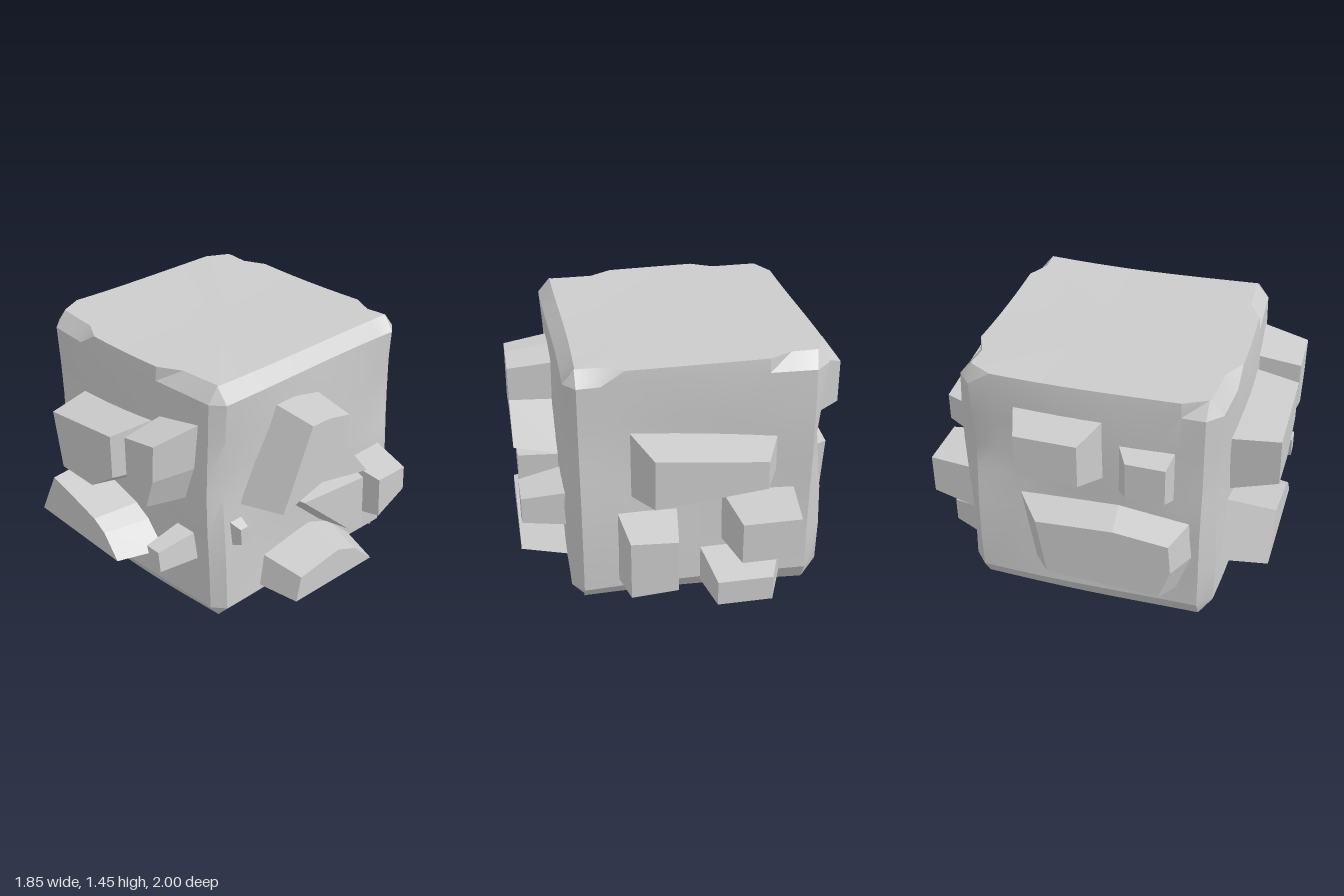
import * as THREE from 'three';
import { toCreasedNormals } from 'three/addons/utils/BufferGeometryUtils.js';

const material = new THREE.MeshStandardMaterial({ color: 0xcccccc });

// Stacks closed loops of points into a skin and closes its ends with fans.
function skin(loops, endCentre, startCentre) {
  const pos = [];
  const tri = (...pts) => pts.forEach((p) => pos.push(...p));
  const n = loops[0].length;
  const last = loops[loops.length - 1];
  for (let i = 0; i < n; i++) {
    const j = (i + 1) % n;
    for (let k = 0; k < loops.length - 1; k++) {
      const [a, b, c, d] = [loops[k][i], loops[k][j], loops[k + 1][j], loops[k + 1][i]];
      tri(a, b, c);
      tri(a, c, d);
    }
    tri(endCentre, last[i], last[j]);
    if (startCentre) tri(startCentre, loops[0][j], loops[0][i]);
  }
  const g = new THREE.BufferGeometry();
  g.setAttribute('position', new THREE.Float32BufferAttribute(pos, 3));
  g.computeVertexNormals();
  return g;
}

// Block: chamfered square loops, with chipped edges and gently uneven sides.
function blockLoop(y, kind) {
  const N = 10;
  const pts = [];
  const top = kind === 'top', bottom = kind === 'bottom';
  const wob = (t, s) => 0.01 * Math.sin(4 * t + 5 * y + s);
  const dent = 0.025 * Math.exp(-Math.pow((y - 0.95) / 0.2, 2));
  const chip = (t, a, b) => (top ? (t < a || t > b ? 0.07 : 0.005) : bottom ? 0.06 : 0);
  for (let side = 0; side < 4; side++) {
    for (let i = 0; i <= N; i++) {
      const t = i / N;
      const bow = Math.sin(Math.PI * t);
      if (side === 0) pts.push([-0.66 + 1.27 * t, y, 0.72 + 0.02 * bow + wob(t, 0) - chip(t, 0.25, 0.75)]);
      if (side === 1) pts.push([0.67 - dent * (1 - bow) + wob(t, 1) - (top || bottom ? 0.07 : 0), y, 0.65 - 1.27 * t]);
      if (side === 2) pts.push([0.6 - 1.27 * t, y, -0.7 + 0.03 * bow + wob(t, 2) + chip(t, 0.12, 0.85)]);
      if (side === 3) pts.push([-0.75 + dent * (1 - bow) + wob(t, 3) + chip(t, 0.05, 0.95), y, -0.62 + 1.27 * t]);
    }
  }
  // The top rises towards its corners and the underside leans.
  for (const p of pts) {
    if (top) p[1] += 0.025 * (p[0] ** 2 + p[2] ** 2);
    if (bottom) p[1] += 0.02 * p[0];
  }
  return pts;
}

// Each wall maps (across, up, outward) to space; flip marks mirrored axes.
const walls = {
  front: { map: (u, v, d) => [u, v, d], flip: 1, surface: 0.72 },
  back: { map: (u, v, d) => [u, v, -d], flip: -1, surface: 0.68 },
  left: { map: (u, v, d) => [d, v, u], flip: -1, surface: 0.66 },
  right: { map: (u, v, d) => [-d, v, u], flip: 1, surface: 0.75 },
};

// Four-sided outline; grow makes the +across end taller and the other end shorter.
function quad(u, v, w, h, grow = 0) {
  const a = (h / 2) * (1 + grow), b = (h / 2) * (1 - grow);
  return [[u + w / 2, v + a], [u - w / 2, v + b], [u - w / 2, v - b], [u + w / 2, v - a]];
}

// Projecting stone: an outline on the wall, shrunk by taper and shifted at its outer face.
function stone(wall, depth, taper, outline, shift = [0, 0]) {
  const { map, flip, surface } = walls[wall];
  const pts = outline.map(([u, v]) => new THREE.Vector2(u, v));
  if (THREE.ShapeUtils.area(pts) * flip < 0) pts.reverse();
  const centre = new THREE.Box2().setFromPoints(pts).getCenter(new THREE.Vector2());
  const face = pts.map((p) => p.clone().sub(centre).multiplyScalar(taper).add(centre).add(new THREE.Vector2(...shift)));
  const mean = face.reduce((s, p) => s.addScaledVector(p, 1 / face.length), new THREE.Vector2());
  const ring = (list, d) => list.map((p) => map(p.x, p.y, d));
  const loops = [ring(pts, surface - 0.12), ring(pts, surface), ring(face, depth)];
  const mesh = new THREE.Mesh(skin(loops, map(mean.x, mean.y, depth)), material);
  mesh.name = wall + 'Stone';
  return mesh;
}

function frontStones() {
  return [
    stone('front', 0.99, 0.83, [[-0.42, 1.06], [0.2, 1.13], [0.2, 0.83], [-0.03, 0.67], [-0.35, 0.67]], [0.01, 0.015]),
    stone('front', 0.98, 0.82, [[0.26, 1.18], [0.54, 1.23], [0.52, 0.97], [0.45, 0.76], [0.26, 0.83]], [-0.015, 0]),
    stone('front', 1, 0.88, [[-0.56, 0.32], [-0.4, 0.63], [-0.2, 0.58], [0.02, 0.52], [0.12, 0.46], [0.24, 0.31]], [-0.02, 0]),
    stone('front', 0.96, 0.72, [[0.37, 0.56], [0.5, 0.56], [0.52, 0.4], [0.43, 0.36]]),
  ];
}

function leftStones() {
  return [
    stone('left', 0.92, 0.86, [[0.53, 0.73], [0.3, 1.25], [0.16, 1.25], [-0.02, 1.21], [-0.02, 0.98], [-0.22, 0.73], [0.2, 0.82]]),
    stone('left', 0.9, 0.78, [[0.38, 0.78], [-0.22, 0.73], [-0.24, 0.29], [-0.09, 0.35]], [-0.01, 0.025]),
    stone('left', 0.92, 0.82, [[0.4, 0.14], [0.36, 0.32], [0, 0.37], [-0.17, 0.3], [-0.35, 0.13]], [0.025, -0.02]),
    stone('left', 0.91, 0.74, [[-0.27, 0.68], [-0.56, 0.68], [-0.57, 0.48], [-0.29, 0.35]], [0.01, 0]),
    stone('left', 0.72, 0.65, [[0.61, 0.65], [0.53, 0.65], [0.49, 0.49], [0.6, 0.5]]),
  ];
}

function rightStones() {
  return [
    stone('right', 0.93, 0.7, quad(-0.13, 1.09, 0.49, 0.36), [-0.01, 0]),
    stone('right', 0.85, 0.72, quad(0.35, 0.995, 0.3, 0.3), [0.02, 0]),
    stone('right', 0.91, 0.78, [[-0.36, 0.7], [0.2, 0.74], [0.59, 0.7], [0.61, 0.47], [0.53, 0.23], [-0.29, 0.26]], [0.03, 0]),
  ];
}

function backStones() {
  return [
    stone('back', 0.94, 0.75, quad(-0.075, 0.885, 0.8, 0.3, 0.28), [0.013, 0.02]),
    stone('back', 0.93, 0.78, quad(0.24, 0.38, 0.33, 0.42, 0.05)),
    stone('back', 1, 0.8, quad(-0.38, 0.51, 0.4, 0.3), [0, 0.02]),
    stone('back', 0.94, 0.67, quad(-0.29, 0.2, 0.46, 0.22), [0.03, -0.025]),
  ];
}

export function createModel() {
  const group = new THREE.Group();
  group.name = 'rockCube';

  // Main block
  const levels = [[0.018, 'bottom'], [0.11], [0.35], [0.6], [0.8], [0.95], [1.15], [1.37], [1.433, 'top']];
  const loops = levels.map(([y, kind]) => blockLoop(y, kind));
  const geometry = skin(loops, [-0.04, 1.437, 0.02], [-0.04, 0.018, 0.02]);
  const block = new THREE.Mesh(toCreasedNormals(geometry, 0.45), material);
  block.name = 'block';

  // Stones standing out from the four walls
  group.add(block, ...frontStones(), ...leftStones(), ...rightStones(), ...backStones());
  return group;
}
